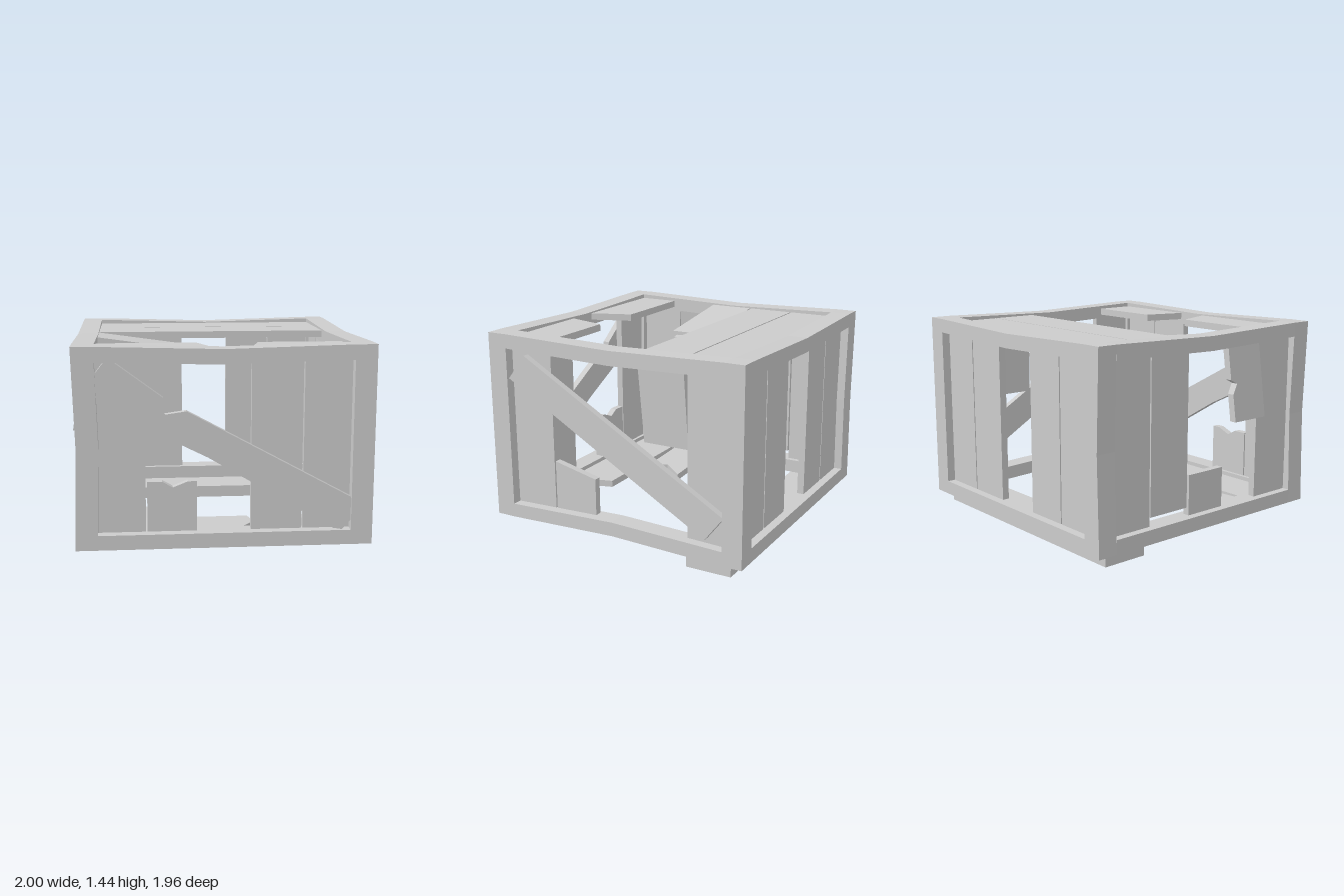
import * as THREE from 'three';

const mat = new THREE.MeshStandardMaterial({ color: 0xcccccc, flatShading: true });
const V = (x, y, z) => new THREE.Vector3(x, y, z);

// Move every vertex of a geometry by a rule.
function warp(geo, rule) {
  const p = geo.attributes.position, v = V(0, 0, 0);
  for (let i = 0; i < p.count; i++) {
    v.fromBufferAttribute(p, i);
    rule(v);
    p.setXYZ(i, v.x, v.y, v.z);
  }
  geo.computeVertexNormals();
  return geo;
}

// Planes: outline axes u, v and the direction the board thickness grows.
const PLANES = {
  front: [V(1, 0, 0), V(0, 1, 0), V(0, 0, 1)],
  side: [V(0, 0, 1), V(0, 1, 0), V(-1, 0, 0)],
  flat: [V(1, 0, 0), V(0, 0, 1), V(0, -1, 0)],
};

const rect = (u0, u1, v0, v1) => [[u0, v0], [u1, v0], [u1, v1], [u0, v1]];

export function createModel() {
  const crate = new THREE.Group();
  crate.name = 'brokenCrate';

  function add(name, geo) {
    const mesh = new THREE.Mesh(geo, mat);
    mesh.name = name;
    crate.add(mesh);
  }

  // Board cut to an outline, starting at `offset` along its plane's normal.
  function board(name, plane, outline, offset, thickness = 0.05, rule = null) {
    const shape = new THREE.Shape(outline.map(([u, v]) => new THREE.Vector2(u, v)));
    const geo = new THREE.ExtrudeGeometry(shape, { depth: thickness, bevelEnabled: false });
    const [u, v, n] = PLANES[plane];
    geo.translate(0, 0, offset * (plane === 'front' ? 1 : -1));
    geo.applyMatrix4(new THREE.Matrix4().makeBasis(u, v, n));
    add(name, rule ? warp(geo, rule) : geo);
  }

  // Frame bar between two corners, pushed by `bow` at its middle.
  function bar(name, a, b, axis, bow = V(0, 0, 0)) {
    const size = b.clone().sub(a), mid = a.clone().add(b).multiplyScalar(0.5);
    const seg = ['x', 'y', 'z'].map((k) => (k === axis ? 4 : 1));
    const geo = new THREE.BoxGeometry(size.x, size.y, size.z, ...seg);
    const half = size[axis] / 2;
    warp(geo, (p) => {
      const f = 1 - Math.abs(p[axis]) / half;
      p.addScaledVector(bow, f).add(mid);
    });
    add(name, geo);
  }

  // Frame: four posts, then bent rails along the top and bottom
  const L = -0.975, R = 1, E = 0.98, W = 0.145, Y0 = 0.09, Y1 = 1.435, H = 0.1;
  for (const s of [1, -1]) {
    const z0 = s > 0 ? E - W : -E, z1 = z0 + W, end = s > 0 ? 'front' : 'back';
    bar(end + 'LeftPost', V(R - W, Y0, z0), V(R, Y1, z1), 'y');
    bar(end + 'RightPost', V(L, Y0, z0), V(L + W, Y1, z1), 'y', V(0.02, 0, 0));
    bar(end + 'TopRail', V(L + W, Y1 - H, z0), V(R - W, Y1, z1), 'x', V(0, -0.022, 0));
    bar(end + 'BottomRail', V(L + W, Y0, z0), V(R - W, Y0 + H, z1), 'x');
    const x0 = s > 0 ? R - W : L, x1 = x0 + W, side = s > 0 ? 'left' : 'right';
    bar(side + 'TopRail', V(x0, Y1 - H, W - E), V(x1, Y1, E - W), 'z', V(0, -0.022, 0));
    bar(side + 'BottomRail', V(x0, Y0, W - E), V(x1, Y0 + H, E - W), 'z',
      V(0, s > 0 ? 0.028 : 0, 0));
  }

  // Whole upright boards on the front and back
  const lo = 0.17, hi = 1.35, T = 0.05;
  for (const [a, b] of [[-0.83, -0.51], [0.19, 0.53], [0.54, 0.86]])
    board('frontBoard', 'front', rect(a, b, lo, hi), 0.86, T);
  for (const [a, b] of [[-0.83, -0.51], [-0.5, -0.18], [0.19, 0.53], [0.54, 0.86]])
    board('backBoard', 'front', rect(a, b, lo, hi), -0.92, T);

  // Snapped front board and the notched diagonal brace
  board('frontBoardStub', 'front',
    [[-0.5, lo], [-0.17, lo], [-0.17, 0.53], [-0.23, 0.53], [-0.33, 0.49], [-0.4, 0.53], [-0.5, 0.53]],
    0.86, T);
  board('frontBrace', 'front',
    [[-0.84, 1.24], [-0.77, 1.33], [-0.7, 1.33], [-0.39, 1.1], [-0.38, 0.99], [-0.24, 1.01],
      [0.86, 0.41], [0.86, 0.26], [0.8, 0.19], [0.74, 0.2], [-0.1, 0.7], [-0.5, 0.9], [-0.84, 1.12]],
    0.91, T);

  // Left side (+x): outer boards, stub, hanging piece, brace
  for (const [a, b] of [[0.51, 0.845], [-0.845, -0.55]])
    board('leftBoard', 'side', rect(a, b, lo, hi), 0.93, T);
  board('leftBoardStub', 'side', [[0.5, lo], [0.5, 0.55], [0.17, 0.475], [0.17, lo]], 0.93, T);
  board('leftHangingBoard', 'side', [[-0.18, hi], [-0.21, 0.8], [-0.54, 0.8], [-0.52, hi]], 0.93, T,
    (p) => { p.x -= (hi - p.y) * 0.05; });
  board('leftBrace', 'side', [[0.7, 1.295], [0.835, 1.12], [-0.7, 0.235], [-0.835, 0.41]], 0.98, T);

  // Right side (-x): whole boards, stub, board kicked outward
  for (const [a, b, bottom] of [[0.51, 0.845, lo], [-0.5, -0.17, 0.25], [-0.845, -0.51, lo]])
    board('rightBoard', 'side', rect(a, b, bottom, hi), -0.87, T);
  board('rightBoardStub', 'side', rect(-0.15, 0.17, lo, 0.475), -0.87, T);
  board('rightHangingBoard', 'side',
    [[0.51, hi], [0.51, 0.8], [0.21, 0.8], [0.21, 0.99], [0.255, 1.06], [0.2, 1.09], [0.2, hi]],
    -0.87, T, (p) => { p.x -= (hi - p.y) * 0.145; });

  // Lid: two whole boards, one snapped in the middle, one broken at the front
  const top = 1.405;
  board('lidBoard', 'flat', rect(-0.83, 0.86, -0.84, -0.51), top, T);
  board('lidBoard', 'flat', rect(-0.83, 0.86, -0.5, -0.17), top, T);
  const sag = (p) => { p.y -= (p.x + 0.83) * 0.14; };
  board('lidSnappedBoard', 'flat',
    [[-0.83, -0.15], [-0.02, -0.15], [-0.165, 0], [-0.165, 0.175], [-0.83, 0.175]], top, T, sag);
  board('lidSplinter', 'flat',
    [[-0.17, -0.15], [0.01, -0.15], [-0.12, 0.14], [-0.17, 0.14]], 1.285, 0.04,
    (p) => { p.y -= (p.x + 0.17) * 0.08; });
  board('lidFrontBoardRight', 'flat', [[-0.83, 0.54], [-0.15, 0.54], [-0.04, 0.845], [-0.83, 0.845]], top, T);
  board('lidFrontBoardLeft', 'flat', [[0.275, 0.54], [0.86, 0.54], [0.86, 0.845], [0.19, 0.845]], top, T);

  // Floor: broken boards and the loose board the crate rests on
  board('floorBoardRight', 'flat',
    [[-0.83, 0.51], [0.21, 0.51], [0.245, 0.64], [0.16, 0.74], [0.2, 0.845], [-0.83, 0.845]], 0.16, T);
  board('floorBoardLeft', 'flat',
    [[0.45, 0.51], [0.86, 0.51], [0.86, 0.845], [0.5, 0.845], [0.42, 0.56]], 0.16, T);
  board('floorSnappedBoard', 'flat',
    [[-0.83, 0.175], [-0.23, 0.175], [-0.375, 0.35], [-0.31, 0.485], [-0.83, 0.485]], 0.16, T,
    (p) => { p.y -= (p.x + 0.83) * 0.05; });
  board('looseFloorBoard', 'flat', rect(-0.915, 0.95, -0.88, -0.55), 0.09, 0.09);

  return crate;
}
